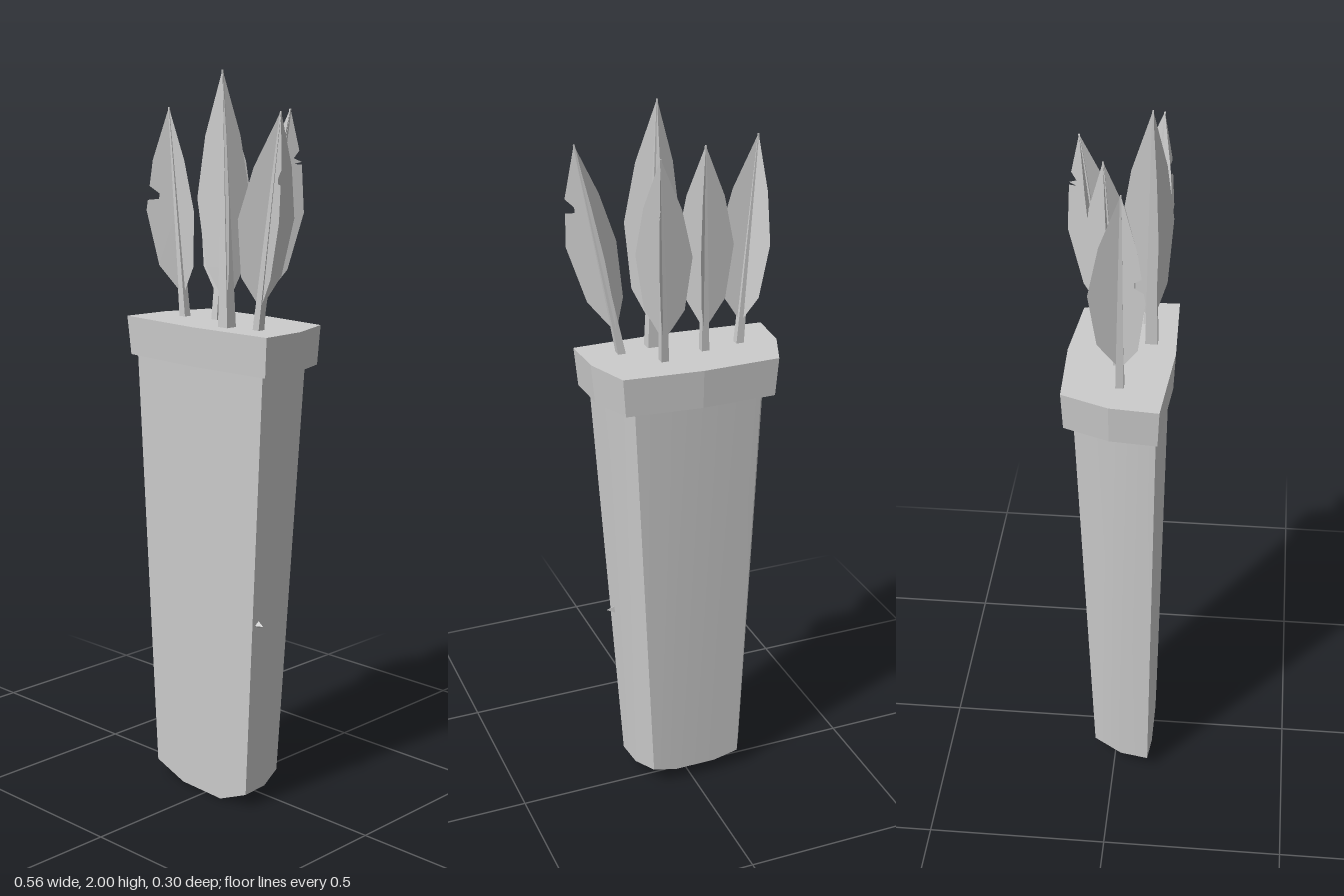
import * as THREE from 'three';
import { toCreasedNormals } from 'three/addons/utils/BufferGeometryUtils.js';

const solid = new THREE.MeshStandardMaterial({ color: 0xcccccc });
const flat = new THREE.MeshStandardMaterial({ color: 0xcccccc, flatShading: true });
const thin = new THREE.MeshStandardMaterial({ color: 0xcccccc, flatShading: true, side: THREE.DoubleSide });

function buildGeometry(points, index) {
  const geo = new THREE.BufferGeometry();
  geo.setAttribute('position', new THREE.Float32BufferAttribute(points.flat(), 3));
  geo.setIndex(index);
  geo.computeVertexNormals();
  return geo;
}

function addMesh(parent, name, geo, material) {
  const mesh = new THREE.Mesh(geo, material);
  mesh.name = name;
  parent.add(mesh);
  return mesh;
}

// Closed solid between two rings of [x, y, z], each capped from a centre point
function loft(bottom, top, bottomCentre, topCentre) {
  const n = bottom.length;
  const index = [];
  for (let i = 0; i < n; i++) {
    const j = (i + 1) % n;
    index.push(i, j, n + j, i, n + j, n + i);
    index.push(2 * n, j, i, 2 * n + 1, n + i, n + j);
  }
  return buildGeometry([...bottom, ...top, bottomCentre, topCentre], index);
}

// Tapered square shaft leaning from base to tip
function shaftGeometry(base, tip, radius) {
  const ring = ([x, y, z], r) =>
    [[-r, r], [r, r], [r, -r], [-r, -r]].map(([dx, dz]) => [x + dx, y, z + dz]);
  return loft(ring(base, radius), ring(tip, 0.002), base, tip);
}

// Leaf-shaped vane: a strip from the shaft out to the edge profile
const VANE = [[0, 0], [0.28, 0.055], [0.55, 0.083], [0.85, 0.06], [1, 0.006]];
function widthAt(t) {
  const k = Math.max(1, VANE.findIndex(([s]) => s >= t));
  const [t0, w0] = VANE[k - 1], [t1, w1] = VANE[k];
  return w0 + (w1 - w0) * (t - t0) / (t1 - t0);
}
function vaneGeometry(base, tip, [dx, dz], notch) {
  let edge = VANE;
  if (notch) {
    const cut = [[-0.04, 1], [0, 0.6], [0.03, 0.6], [0.035, 1]]
      .map(([d, f]) => [notch + d, widthAt(notch + d) * f]);
    edge = [...VANE, ...cut].sort((a, b) => a[0] - b[0]);
  }
  const length = Math.hypot(dx, dz);
  const points = [], index = [];
  edge.forEach(([t, w], i) => {
    const y = tip[1] + (1.4 - tip[1]) * t;
    const k = (y - base[1]) / (tip[1] - base[1]);
    const x = base[0] + (tip[0] - base[0]) * k;
    const z = base[2] + (tip[2] - base[2]) * k;
    points.push([x, y, z], [x + dx / length * w, y, z + dz / length * w]);
    if (i) index.push(2 * i - 2, 2 * i, 2 * i + 1, 2 * i - 2, 2 * i + 1, 2 * i - 1);
  });
  return buildGeometry(points, index);
}

// Each arrow: shaft ends, three vane directions, optional notched vane
const ARROWS = [
  { base: [-0.163, 1.32, 0.015], tip: [-0.215, 1.9, 0.022],
    vanes: [[-0.025, -0.075], [-0.05, 0.065], [0.085, 0.015]], notched: 1, notch: 0.46 },
  { base: [-0.057, 1.32, 0.0], tip: [-0.043, 1.9, -0.037],
    vanes: [[-0.08, 0.003], [0.04, -0.07], [0.05, 0.063]] },
  { base: [0.062, 1.32, 0.08], tip: [0.043, 2.0, 0.077], radius: 0.017,
    vanes: [[-0.075, 0.02], [0.013, -0.085], [0.06, 0.047]] },
  { base: [0.07, 1.32, -0.03], tip: [0.108, 1.9, -0.112],
    vanes: [[0.04, -0.08], [-0.085, 0], [0.045, 0.065]], notched: 0, notch: 0.26 },
  { base: [0.155, 1.32, 0.06], tip: [0.262, 1.9, 0.092],
    vanes: [[0.01, -0.085], [-0.06, 0.04], [0.075, 0.045]], notched: 2, notch: 0.33 },
];

export function createModel() {
  const model = new THREE.Group();
  model.name = 'quiver';

  // Tapering case with a rounded foot
  const bodyTop = [[-0.25, 0.115], [-0.09, 0.125], [0.08, 0.125], [0.23, 0.12], [0.215, 0.01],
    [0.18, -0.1], [0.07, -0.108], [-0.07, -0.11], [-0.18, -0.105], [-0.235, 0]]
    .map(([x, z]) => [x, 1.25, z]);
  const bodyBottom = [[-0.2, 0.04, 0.1], [-0.09, 0.005, 0.106], [0.06, 0, 0.106], [0.155, 0.04, 0.103],
    [0.148, 0.04, 0.02], [0.12, 0.055, -0.06], [0.05, 0.04, -0.062], [-0.07, 0.04, -0.062],
    [-0.145, 0.055, -0.06], [-0.185, 0.04, 0.02]];
  const body = loft(bodyBottom, bodyTop, [-0.01, 0, 0.02], [0, 1.25, 0]);
  addMesh(model, 'case', toCreasedNormals(body, 0.4), solid);

  // Collar around the mouth
  const rim = [[-0.28, 0.125], [0, 0.148], [0.263, 0.142], [0.26, 0.01],
    [0.217, -0.118], [0, -0.138], [-0.217, -0.132], [-0.268, -0.005]];
  const rimTop = rim.map(([x, z]) => [x, 1.335, z]);
  const rimBottom = rim.map(([x, z]) => [x * 0.965, 1.228, z * 0.965]);
  addMesh(model, 'collar', loft(rimBottom, rimTop, [0, 1.228, 0], [0, 1.335, 0]), flat);

  // Small snag on the side of the case
  const snag = new THREE.ConeGeometry(0.02, 0.04, 3);
  snag.rotateZ(-Math.PI / 2);
  addMesh(model, 'snag', snag, flat).position.set(0.185, 0.537, 0.088);

  // Arrows
  for (const { base, tip, radius = 0.011, vanes, notched, notch } of ARROWS) {
    const arrow = new THREE.Group();
    arrow.name = 'arrow';
    addMesh(arrow, 'shaft', shaftGeometry(base, tip, radius), flat);
    vanes.forEach((dir, i) =>
      addMesh(arrow, 'vane', vaneGeometry(base, tip, dir, i === notched ? notch : 0), thin));
    model.add(arrow);
  }
  return model;
}
